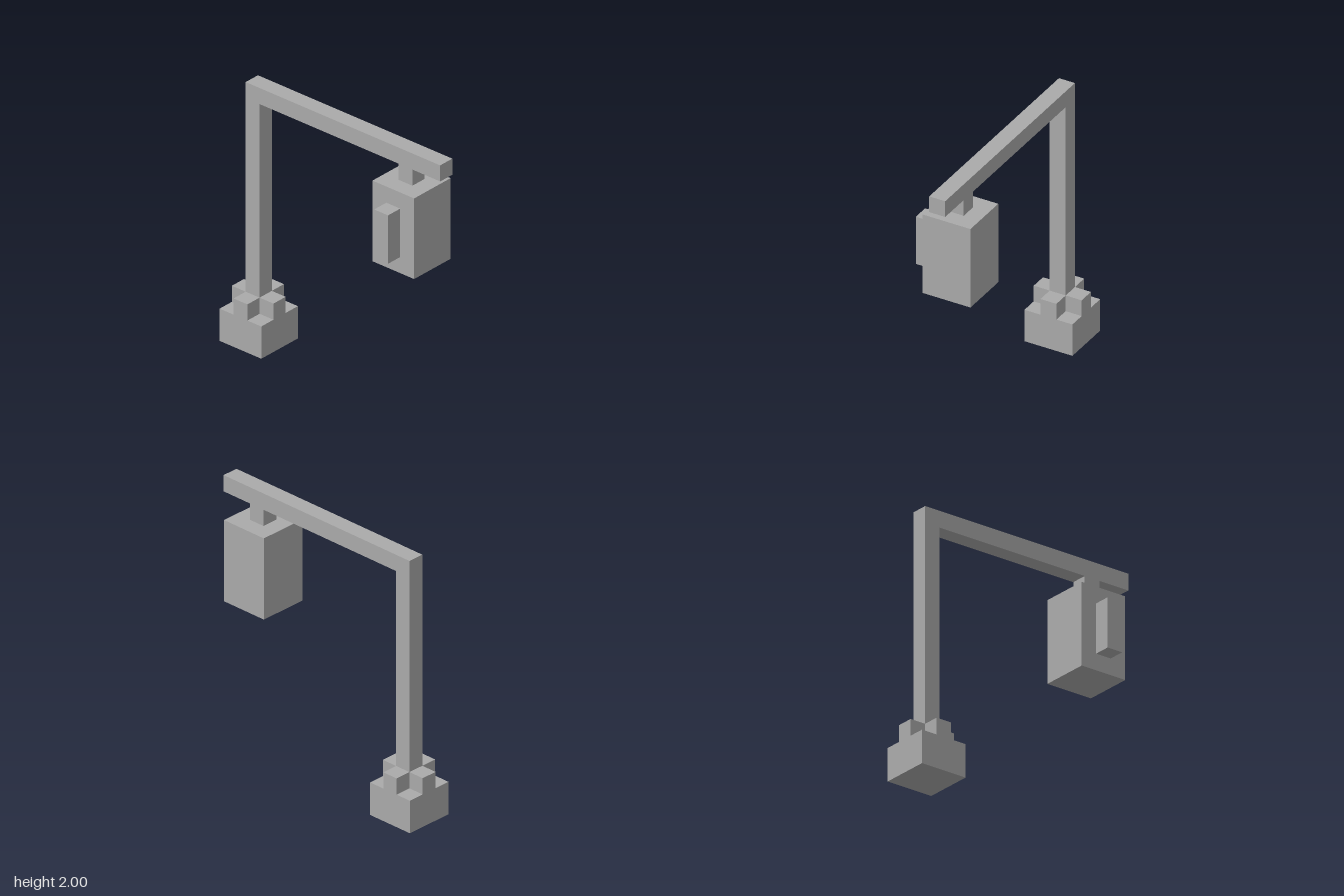
import * as THREE from 'three';

const U = 0.125; // block size

export function createModel() {
  const model = new THREE.Group();
  model.name = 'lampPost';
  const stone = new THREE.MeshStandardMaterial({ color: 0xaaaaaa });
  stone.name = 'plain grey';

  // Box from its lowest corner and size, in blocks
  function block(name, [x, y, z], [w, h, d], parent = model) {
    const mesh = new THREE.Mesh(new THREE.BoxGeometry(w * U, h * U, d * U), stone);
    mesh.name = name;
    mesh.position.set((x + w / 2) * U, (y + h / 2) * U, (z + d / 2) * U);
    parent.add(mesh);
  }

  // Base with four collar blocks around the post
  block('base', [-7.5, 0, -2], [3, 2, 3]);
  const collar = new THREE.Group();
  collar.name = 'collar';
  model.add(collar);
  for (const [dx, dz] of [[1, 0], [-1, 0], [0, 1], [0, -1]]) {
    block('collarBlock', [-6.5 + dx, 2, -1 + dz], [1, 1, 1], collar);
  }

  // Post and overhanging arm
  block('post', [-6.5, 2, -1], [1, 13, 1]);
  block('arm', [-6.5, 15, -1], [14, 1, 1]);

  // Hanging lantern with a raised front panel
  const lantern = new THREE.Group();
  lantern.name = 'lantern';
  model.add(lantern);
  block('hanger', [4.5, 14, -1], [1, 1, 1], lantern);
  block('lanternBody', [3.5, 9, -2], [3, 5, 3], lantern);
  block('frontPanel', [4.5, 10, 1], [1, 3, 1], lantern);

  return model;
}
